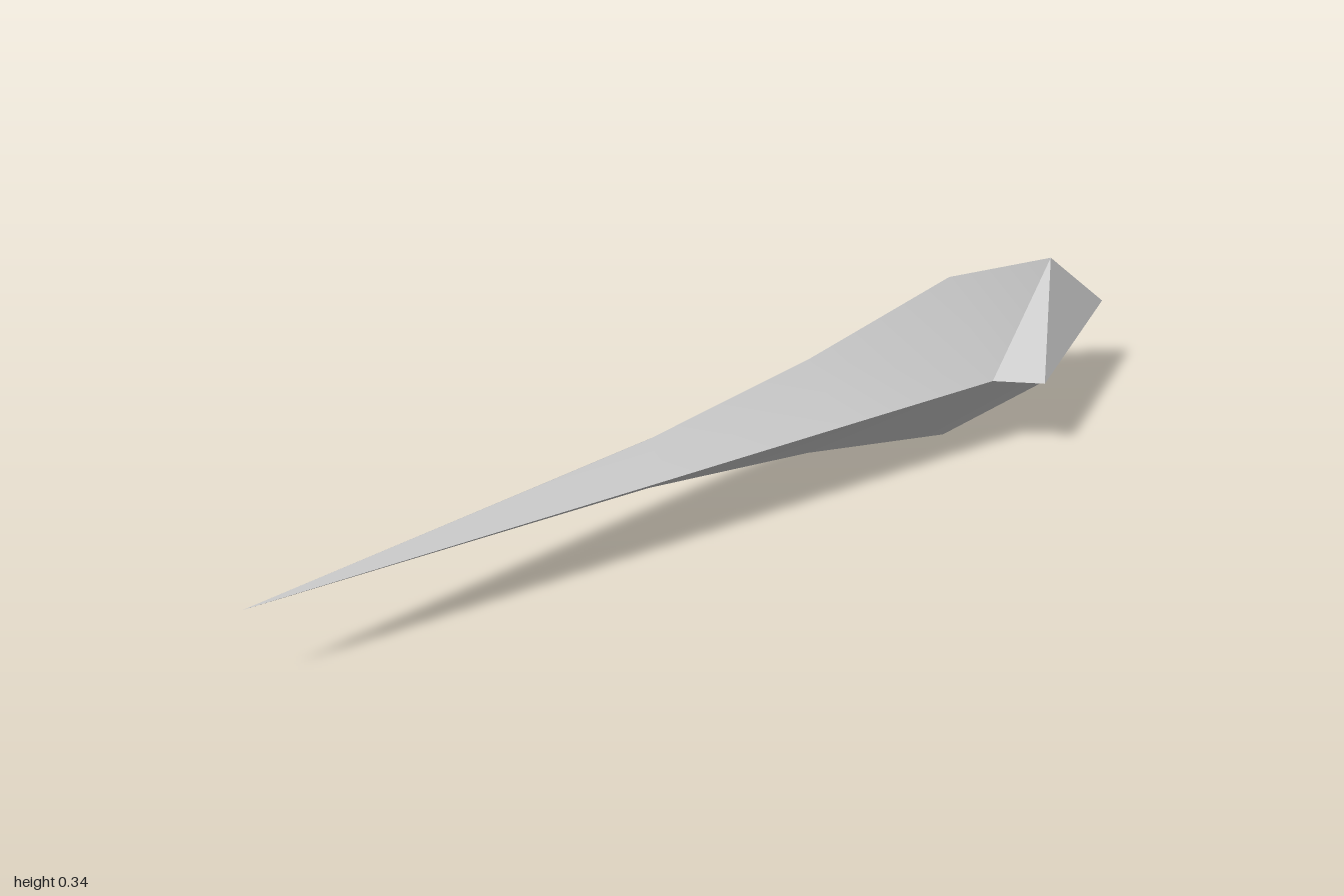
import * as THREE from 'three';

const MID = 0.172; // height of the long axis

// Ridge profile: x, height above the axis, half width of the side edge
const sections = [
  [-1, 0, 0],
  [-0.15, 0.05, 0.073],
  [0.23, 0.1, 0.105],
  [0.577, 0.171, 0.135],
];
const ridgeEnd = [0.848, 0.137, 0];
const neck = [0.577, 0, 0.135];
const barb = [0.648, 0, 0.205];
const tip = [1, 0, 0];

// Builds one quarter, mirrored by the signs sy and sz
function quarter(points, faces, sy, sz, smooth) {
  const geo = new THREE.BufferGeometry();
  const pos = points.flatMap(([x, y, z]) => [x, MID + y * sy, z * sz]);
  geo.setAttribute('position', new THREE.Float32BufferAttribute(pos, 3));
  geo.setIndex(faces.flatMap(([a, b, c]) => (sy * sz > 0 ? [a, b, c] : [a, c, b])));
  const out = smooth ? geo : geo.toNonIndexed();
  out.computeVertexNormals();
  return out;
}

export function createModel() {
  const group = new THREE.Group();
  group.name = 'spike';
  const grey = new THREE.MeshStandardMaterial({ color: 0xcccccc });
  grey.name = 'grey';

  // Shaft: ridge and side points in pairs, closed by the ridge end
  const shaftPoints = sections.flatMap(([x, h, w]) => [[x, h, 0], [x, 0, w]]);
  shaftPoints.push(ridgeEnd);
  const shaftFaces = [[0, 3, 2]];
  for (let i = 1; i < sections.length - 1; i++) {
    const r = i * 2;
    shaftFaces.push([r, r + 1, r + 3], [r, r + 3, r + 2]);
  }
  const last = (sections.length - 1) * 2;
  shaftFaces.push([last, last + 1, last + 2]);

  // Head: shoulder behind the barb, and the facet running to the tip
  const headPoints = [neck, barb, tip, ridgeEnd];
  const headFaces = [[0, 1, 3], [1, 2, 3]];

  for (const sy of [1, -1]) {
    for (const sz of [1, -1]) {
      const where = (sy > 0 ? 'Upper' : 'Lower') + (sz > 0 ? 'Front' : 'Back');
      const shaft = new THREE.Mesh(quarter(shaftPoints, shaftFaces, sy, sz, true), grey);
      shaft.name = 'shaft' + where;
      const head = new THREE.Mesh(quarter(headPoints, headFaces, sy, sz, false), grey);
      head.name = 'head' + where;
      group.add(shaft, head);
    }
  }
  return group;
}
